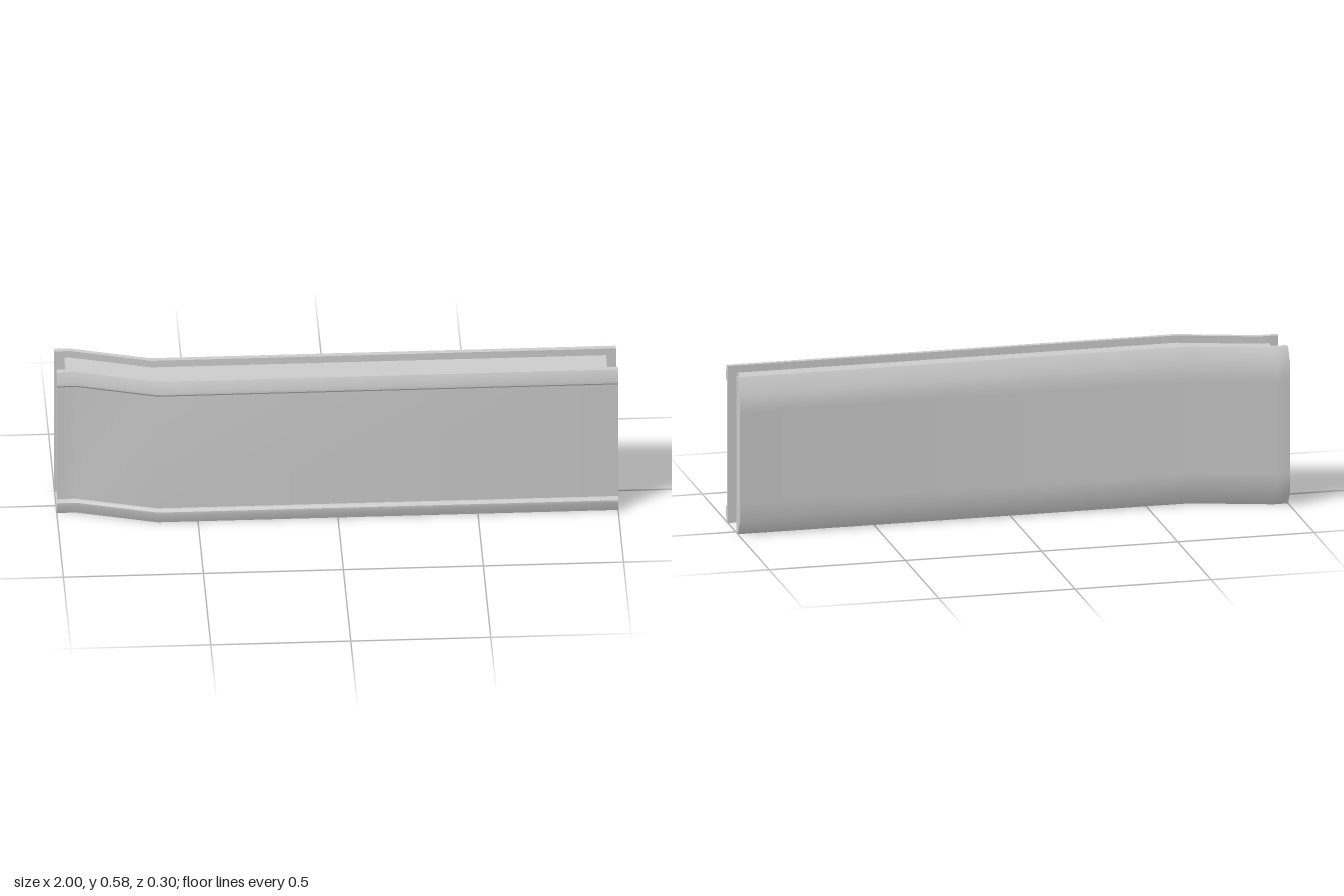
import * as THREE from 'three';
import { toCreasedNormals } from 'three/addons/utils/BufferGeometryUtils.js';

const HEIGHT = 0.583;
const material = new THREE.MeshStandardMaterial({ color: 0xcccccc });

// Sweep a [z, y] profile along x, stepping back through the bend near the right end.
function sweep(name, profile, halfLength) {
  const path = [
    { x: -halfLength, shift: -0.084, mitre: 0 },
    { x: -0.94, shift: -0.084, mitre: 0.1 },
    { x: -0.653, shift: 0, mitre: 0.1 },
    { x: halfLength, shift: 0, mitre: 0 },
  ];
  const steps = path.length - 1;
  const shape = new THREE.Shape(profile.map(([z, y]) => new THREE.Vector2(-z, y)));
  const geometry = new THREE.ExtrudeGeometry(shape, { depth: steps, steps, bevelEnabled: false });
  geometry.rotateY(Math.PI / 2);
  const p = geometry.attributes.position;
  for (let i = 0; i < p.count; i++) {
    const station = path[Math.round(p.getX(i))];
    const z = p.getZ(i);
    p.setX(i, station.x + station.mitre * (z - 0.04));
    p.setZ(i, z + station.shift);
  }
  const mesh = new THREE.Mesh(toCreasedNormals(geometry, 0.6), material);
  mesh.name = name;
  return mesh;
}

// Complete a profile by mirroring its upper half about mid height.
function mirrored(upper) {
  return [...upper, ...upper.map(([z, y]) => [z, HEIGHT - y]).reverse()];
}

export function createModel() {
  const group = new THREE.Group();
  group.name = 'bentPanel';

  // Front sheet with a hooked lip along both long edges
  group.add(sweep('frontSheet', mirrored([
    [0.116, HEIGHT], [0.135, HEIGHT], [0.15, 0.545],
    [0.15, 0.534], [0.142, 0.525], [0.135, 0.525],
  ]), 1));

  // Recessed core between the sheets
  group.add(sweep('core', mirrored([[-0.012, 0.556], [0.116, 0.556]]), 0.965));

  // Thick back sheet with chamfered long edges
  group.add(sweep('backSheet', mirrored([
    [-0.012, HEIGHT], [-0.031, HEIGHT], [-0.064, 0.525], [-0.064, 0.46],
  ]), 1));

  return group;
}
